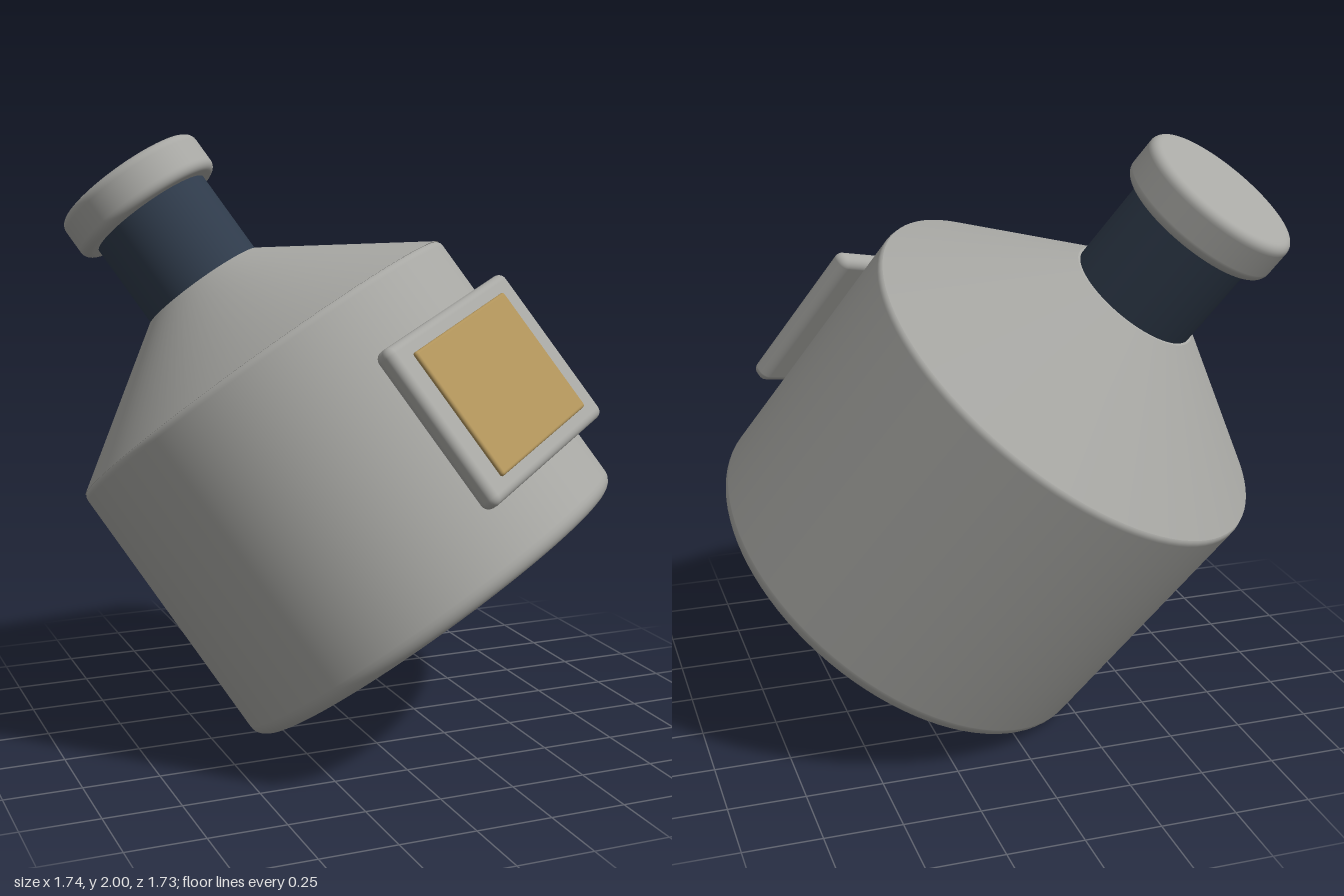
import * as THREE from 'three';
import { RoundedBoxGeometry } from 'three/addons/geometries/RoundedBoxGeometry.js';

// Solid cylinder with filleted bottom and top edges
function filletedCylinder(radius, y0, y1, fillet0, fillet1) {
  const pts = [new THREE.Vector2(0, y0), new THREE.Vector2(radius - fillet0 - 0.003, y0)];
  const arc = (cy, f, from) => {
    for (let i = 0; i <= 8; i++) {
      const t = from + (i / 8) * (Math.PI / 2);
      pts.push(new THREE.Vector2(radius - f + f * Math.cos(t), cy + f * Math.sin(t)));
    }
  };
  arc(y0 + fillet0, fillet0, -Math.PI / 2);
  pts.push(new THREE.Vector2(radius, y0 + fillet0 + 0.003));
  pts.push(new THREE.Vector2(radius, y1 - fillet1 - 0.003));
  arc(y1 - fillet1, fillet1, 0);
  pts.push(new THREE.Vector2(radius - fillet1 - 0.003, y1), new THREE.Vector2(0, y1));
  return new THREE.LatheGeometry(pts, 96);
}

export function createModel() {
  const grey = new THREE.MeshStandardMaterial({ color: 0xa8a8a4 });
  grey.name = 'warm grey';
  const navy = new THREE.MeshStandardMaterial({ color: 0x2f3b4b });
  navy.name = 'dark navy';
  const gold = new THREE.MeshStandardMaterial({ color: 0xb0935a });
  gold.name = 'muted gold';

  const bottle = new THREE.Group();
  bottle.name = 'bottle';
  const add = (name, geometry, material, y = 0, z = 0) => {
    const mesh = new THREE.Mesh(geometry, material);
    mesh.name = name;
    mesh.position.set(0, y, z);
    bottle.add(mesh);
  };

  // Upright bottle, base at y = 0, label facing +z
  add('body', filletedCylinder(0.735, 0, 1.0, 0.05, 0.025), grey);
  add('shoulder', new THREE.CylinderGeometry(0.225, 0.73, 0.345, 96), grey, 1.1675);
  add('neck', new THREE.CylinderGeometry(0.217, 0.217, 0.4, 64), navy, 1.5);
  add('cap', filletedCylinder(0.27, 1.645, 1.79, 0.03, 0.03), grey);

  // Label plate with a raised panel
  add('labelFrame', new RoundedBoxGeometry(0.73, 0.567, 0.07, 5, 0.028), grey, 0.503, 0.745);
  add('labelPanel', new RoundedBoxGeometry(0.555, 0.45, 0.03, 4, 0.01), gold, 0.503, 0.778);

  // Tilt the whole bottle
  const up = new THREE.Vector3(-0.482, 0.796, -0.366).normalize();
  const front = new THREE.Vector3(0.345, 0.558, 0.755);
  front.addScaledVector(up, -front.dot(up)).normalize();
  const side = new THREE.Vector3().crossVectors(up, front);
  bottle.quaternion.setFromRotationMatrix(new THREE.Matrix4().makeBasis(side, up, front));
  bottle.position.set(0.242, 0.425, 0.181);

  const model = new THREE.Group();
  model.name = 'tiltedBottle';
  model.add(bottle);
  return model;
}
